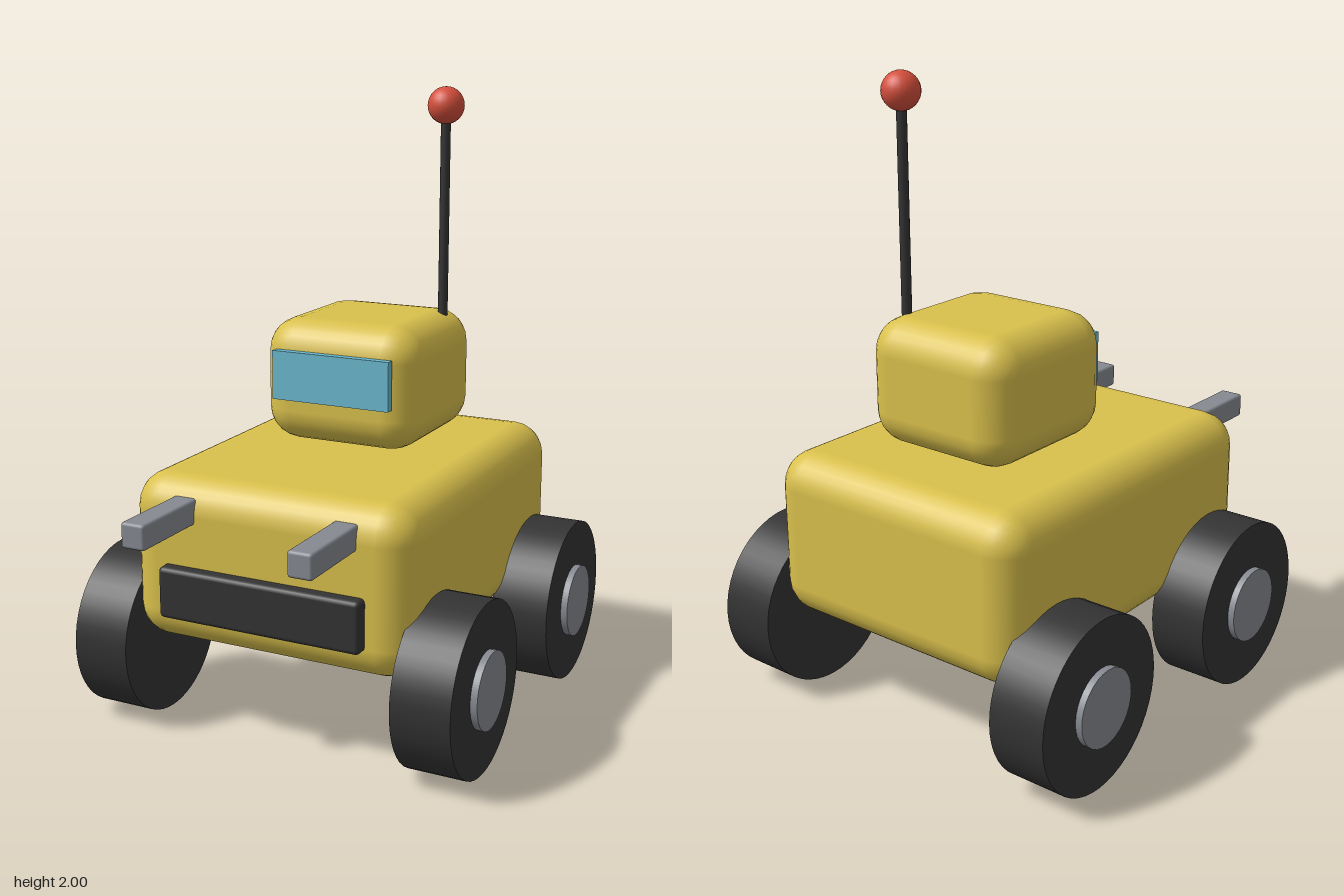
import * as THREE from 'three';
import { RoundedBoxGeometry } from 'three/addons/geometries/RoundedBoxGeometry.js';

const paint = (name, color) => {
  const m = new THREE.MeshStandardMaterial({ color });
  m.name = name;
  return m;
};

export function createModel() {
  const yellow = paint('yellow paint', 0xd9c04c);
  const black = paint('black rubber', 0x333333);
  const grey = paint('grey metal', 0x868a91);
  const blue = paint('blue glass', 0x6cbad0);
  const red = paint('red', 0xd64f3c);

  const model = new THREE.Group();
  model.name = 'rover';

  const add = (name, geometry, material, x, y, z, parent = model) => {
    const mesh = new THREE.Mesh(geometry, material);
    mesh.name = name;
    mesh.position.set(x, y, z);
    parent.add(mesh);
    return mesh;
  };

  // Rounded hull and the cab floating just above it
  add('body', new RoundedBoxGeometry(0.96, 0.54, 1.23, 3, 0.11), yellow, 0, 0.58, -0.105);
  add('head', new RoundedBoxGeometry(0.544, 0.405, 0.545, 3, 0.11), yellow, 0, 1.068, -0.238);
  add('visor', new THREE.BoxGeometry(0.41, 0.16, 0.027), blue, 0, 1.098, 0.047);

  // Front bumper
  add('bumper', new RoundedBoxGeometry(0.685, 0.165, 0.08, 2, 0.015), black, 0, 0.497, 0.512);

  // Mast with its ball tip
  add('antenna', new THREE.CylinderGeometry(0.016, 0.016, 0.68, 16), black, 0.203, 1.58, -0.375);
  add('antennaBall', new THREE.SphereGeometry(0.06, 24, 16), red, 0.203, 1.94, -0.375);

  // Arms and wheels, mirrored left and right
  const armGeo = new RoundedBoxGeometry(0.08, 0.08, 0.38, 2, 0.01);
  const tyreGeo = new THREE.CylinderGeometry(0.273, 0.273, 0.19, 48).rotateZ(Math.PI / 2);
  const hubGeo = new THREE.CylinderGeometry(0.122, 0.122, 0.05, 32).rotateZ(Math.PI / 2);
  for (const [side, s] of [['left', 1], ['right', -1]]) {
    add(side + 'Arm', armGeo, grey, s * 0.273, 0.757, 0.593);
    for (const [end, z] of [['Front', 0.305], ['Rear', -0.515]]) {
      const wheel = new THREE.Group();
      wheel.name = side + end + 'Wheel';
      wheel.position.set(s * 0.548, 0.274, z);
      add('tyre', tyreGeo, black, 0, 0, 0, wheel);
      add('hub', hubGeo, grey, s * 0.092, 0, 0, wheel);
      model.add(wheel);
    }
  }
  return model;
}
